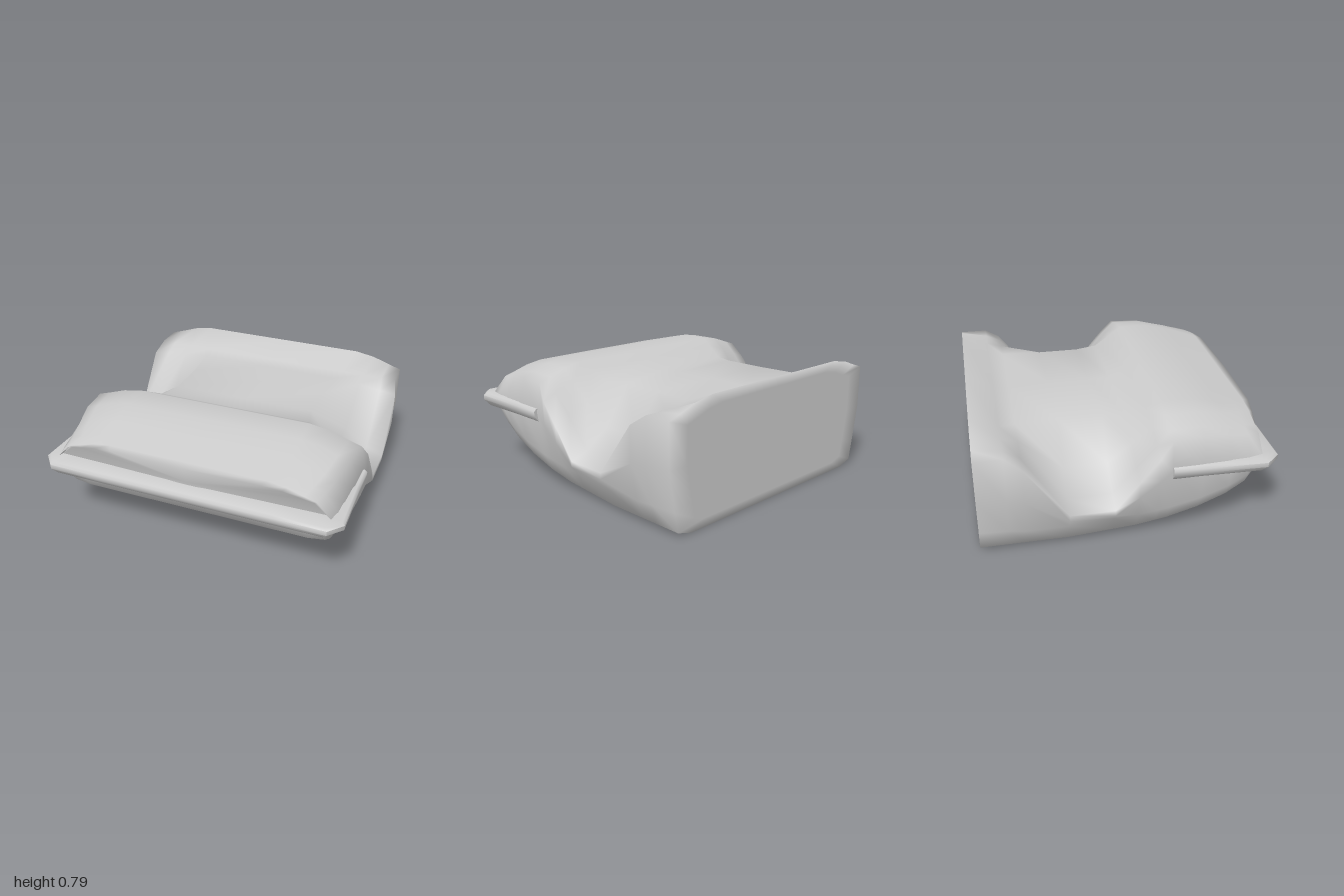
import * as THREE from 'three';
import { toCreasedNormals } from 'three/addons/utils/BufferGeometryUtils.js';

const { lerp, clamp } = THREE.MathUtils;
const grey = new THREE.MeshStandardMaterial({ color: 0xcccccc });
const thin = new THREE.MeshStandardMaterial({ color: 0xcccccc, side: THREE.DoubleSide });

function add(parent, name, geometry, material = grey) {
  const mesh = new THREE.Mesh(geometry, material);
  mesh.name = name;
  parent.add(mesh);
}

// Indexed geometry with smooth normals
function surface(points, index) {
  const g = new THREE.BufferGeometry();
  g.setAttribute('position', new THREE.Float32BufferAttribute(points.flat(), 3));
  g.setIndex(index);
  g.computeVertexNormals();
  return g;
}

// Skin closed rings of [x, y, z] points, cap both ends; skip(i, j) leaves a quad open
function loft(rings, skip = () => false) {
  const n = rings[0].length, last = rings.length - 1;
  const pos = rings.flat(), idx = [];
  for (let i = 0; i < last; i++) {
    for (let j = 0; j < n; j++) {
      if (skip(i, j)) continue;
      const k = (j + 1) % n;
      const a = i * n + j, b = i * n + k, c = a + n, d = b + n;
      idx.push(a, c, b, b, c, d);
    }
  }
  for (const r of [0, last]) {
    const centre = [0, 1, 2].map((k) => rings[r].reduce((s, p) => s + p[k], 0) / n);
    const m = pos.push(centre) - 1;
    for (let j = 0; j < n; j++) {
      const a = r * n + j, b = r * n + ((j + 1) % n);
      if (r === 0) idx.push(m, a, b);
      else idx.push(m, b, a);
    }
  }
  return surface(pos, idx);
}

// Straight-line curve through [z, value] points
const curve = (...pts) => (z) => {
  const i = Math.max(1, pts.findIndex((p) => p[0] >= z));
  const [z0, v0] = pts[i - 1], [z1, v1] = pts[i];
  return lerp(v0, v1, (z - z0) / (z1 - z0));
};

// Guide lines of the shell along its length
const STATIONS = [-0.93, -0.75, -0.65, -0.38, -0.1, 0.05, 0.17, 0.25, 0.45, 0.63, 0.75, 0.83, 0.88];
const deckY = curve([-0.93, 0.79], [-0.75, 0.69], [-0.65, 0.68], [0.05, 0.68], [0.25, 0.79], [0.45, 0.79], [0.88, 0.69]);
const deckX = curve([-0.93, 0.6], [-0.65, 0.52], [-0.38, 0.5], [-0.1, 0.5], [0.25, 0.6], [0.63, 0.6], [0.88, 0.5]);
const rimY = curve([-0.93, 0.7], [-0.75, 0.7], [-0.65, 0.63], [-0.38, 0.27], [-0.1, 0.27], [0.25, 0.7], [0.45, 0.7], [0.88, 0.62]);
const rimX = curve([-0.93, 0.94], [-0.75, 0.94], [-0.65, 0.97], [0.17, 0.97], [0.25, 0.94], [0.45, 0.92], [0.75, 0.85], [0.88, 0.81]);
const sideX = curve([-0.93, 0.94], [-0.75, 0.95], [-0.65, 0.97], [0.17, 0.97], [0.45, 0.965], [0.75, 0.95], [0.88, 0.92]);
const sideY = curve([-0.93, 0.42], [-0.65, 0.4], [-0.38, 0.23], [-0.1, 0.23], [0.17, 0.44], [0.25, 0.51], [0.88, 0.52]);
const bottomY = curve([-0.93, 0], [-0.38, 0], [0.05, 0.035], [0.25, 0.07], [0.45, 0.13], [0.63, 0.21], [0.75, 0.295], [0.83, 0.42], [0.88, 0.44]);
const NOSE = 0.88, RECESS_BACK = 0.63, RECESS_X = [0.43, 0.76];

// Cross-section: deck edge, shoulder, rim, side, chine, bottom, then mirrored
function hullRing(z) {
  const dx = deckX(z), dy = deckY(z), rx = rimX(z), ry = rimY(z), sx = sideX(z), by = bottomY(z);
  // The shoulder is rounded at nose and tail, hollow in the side cut-outs
  const hollow = clamp((0.7 - ry) / 0.43, 0, 1) * (z < 0.25 ? 1 : 0);
  const shoulder = [[0, 0], [0.4, lerp(0.25, 0.6, hollow)], [0.75, lerp(0.7, 0.9, hollow)], [1, 1]]
    .map(([u, v]) => [lerp(dx, rx, u), lerp(dy, ry, v)]);
  const half = [
    ...shoulder,
    [sx, sideY(z)],
    [sx - 0.045, lerp(by, 0.64, 0.25)],
    [Math.min(0.87, sx - 0.07), lerp(by, 0.64, 0.05)],
    [RECESS_X[1], by],
    [RECESS_X[0], by],
  ];
  const ring = [[0, dy], ...half, [0, by], ...half.slice().reverse().map(([x, y]) => [-x, y])];
  // The nose leans forward at the top and curves back towards its corners
  const noseZ = (x, y) => 0.85 + 0.23 * (y - 0.54) - 0.1 * Math.max(0, Math.abs(x) - 0.4);
  return ring.map(([x, y]) => [x, y, z === NOSE ? noseZ(x, y) : z]);
}

// Wedge-shaped recess behind each opening under the nose
function recess(x0, x1) {
  const pts = [x0, x1].flatMap((x) => [[x, 0.21, 0.63], [x, 0.295, 0.63], [x, 0.295, 0.75]]);
  // Wind the faces inwards on either side
  const faces = [0, 3, 4, 0, 4, 1, 1, 4, 5, 1, 5, 2, 0, 1, 2, 3, 5, 4];
  return surface(pts, x1 > x0 ? faces : faces.reverse());
}

export function createModel() {
  const model = new THREE.Group();
  model.name = 'vehicleBody';

  // Body shell with raised nose and tail, flat deck and cut-down sides;
  // an inset ring keeps the tail panel flat inside its softened edge
  const rings = STATIONS.map(hullRing);
  rings.unshift(rings[0].map(([x, y, z]) => [x * 0.85, lerp(y, 0.38, 0.15), z]));
  const openRow = STATIONS.indexOf(RECESS_BACK) + 1;
  add(model, 'bodyShell', loft(rings, (i, j) => i === openRow && (j === 8 || j === 11)));

  for (const s of [1, -1]) {
    add(model, s > 0 ? 'leftFrontRecess' : 'rightFrontRecess',
      recess(s * RECESS_X[0], s * RECESS_X[1]), thin);
  }

  // Bumper wrapped around the nose
  const half = [[0.99, 0.25], [0.99, 0.45], [1, 0.84], [0.92, 0.93], [0.6, 0.93], [0.4, 0.93], [0.2, 0.93]];
  const path = [...half, ...half.slice().reverse().map(([x, z]) => [-x, z])];
  const profile = [[0.15, 0.535], [0.015, 0.535], [0, 0.52], [0, 0.49], [0.03, 0.45], [0.15, 0.435]];
  const bumper = loft(path.map(([x, z]) => profile.map(([inset, y]) =>
    [x * (1 - inset), y, z - (z > 0.5 ? inset : 0)])));
  add(model, 'frontBumper', toCreasedNormals(bumper, 0.9));

  return model;
}
